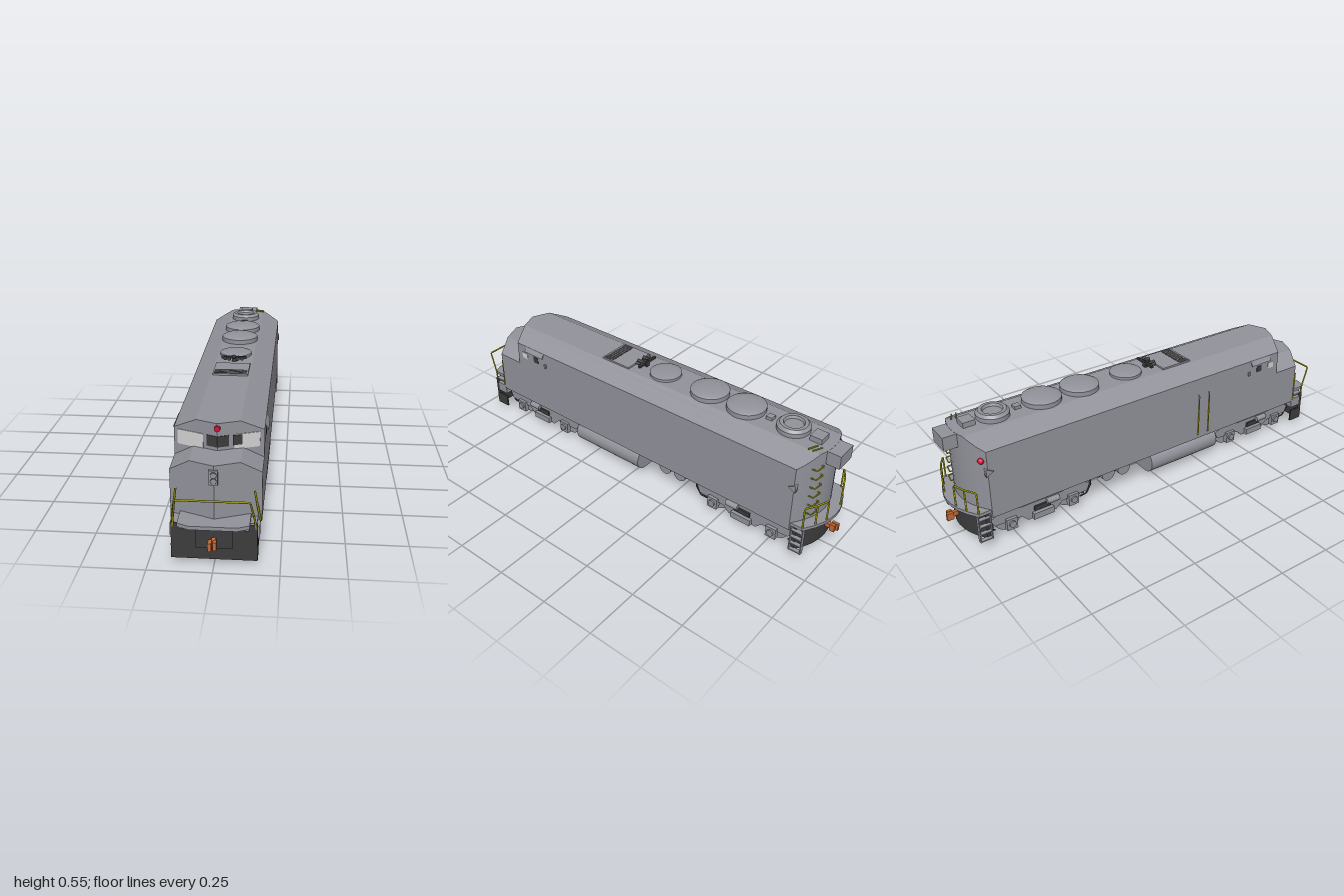
import * as THREE from 'three';
import { toCreasedNormals } from 'three/addons/utils/BufferGeometryUtils.js';

const mat = (name, color) => Object.assign(new THREE.MeshStandardMaterial({ color }), { name });

export function createModel() {
  const grey = mat('bodyGrey', 0x92929b);
  const dark = mat('darkGrey', 0x3c3c3c);
  const yellow = mat('railYellow', 0xb4b208);
  const amber = mat('lampYellow', 0xd8d80a);
  const red = mat('lampRed', 0xd00f35);
  const orange = mat('couplerOrange', 0xc06a38);
  const glass = mat('paleGlass', 0xd2d2d2);

  const root = new THREE.Group();
  root.name = 'locomotive';
  const add = (name, geo, m, x = 0, y = 0, z = 0, parent = root) => {
    const mesh = new THREE.Mesh(geo, m);
    mesh.name = name;
    mesh.position.set(x, y, z);
    parent.add(mesh);
    return mesh;
  };
  const box = (name, w, h, d, m, x, y, z, parent) => add(name, new THREE.BoxGeometry(w, h, d), m, x, y, z, parent);
  const cyl = (r, len, axis = 'y', n = 24, r2 = r) => {
    const g = new THREE.CylinderGeometry(r, r2, len, n);
    if (axis === 'x') g.rotateZ(Math.PI / 2);
    if (axis === 'z') g.rotateX(Math.PI / 2);
    return g;
  };
  const rail = (name, pts, m = yellow, r = 0.004, parent = root) => {
    const path = new THREE.CurvePath();
    const v = pts.map((p) => new THREE.Vector3(...p));
    for (let i = 1; i < v.length; i++) path.add(new THREE.LineCurve3(v[i - 1], v[i]));
    return add(name, new THREE.TubeGeometry(path, (v.length - 1) * 6, r, 6), m, 0, 0, 0, parent);
  };
  // Solid swept across x stations, with top, bottom, front and rear given as functions of x
  const slab = (xs, top, bottom, front, rear) => {
    const f = (q) => (typeof q === 'function' ? q : () => q);
    const [t, b, zf, zr] = [top, bottom, front, rear].map(f);
    const pos = [];
    const quad = (A, B, C, D) => pos.push(...A, ...B, ...C, ...A, ...C, ...D);
    const ring = (x) => [[x, b(x), zf(x)], [x, t(x), zf(x)], [x, t(x), zr(x)], [x, b(x), zr(x)]];
    for (let i = 0; i + 1 < xs.length; i++) {
      const p = ring(xs[i]), q = ring(xs[i + 1]);
      for (let k = 0; k < 4; k++) {
        const n = (k + 1) % 4;
        quad(p[k], q[k], q[n], p[n]);
      }
    }
    const l = ring(xs[0]), r = ring(xs[xs.length - 1]);
    quad(l[0], l[1], l[2], l[3]);
    quad(r[3], r[2], r[1], r[0]);
    const g = new THREE.BufferGeometry();
    g.setAttribute('position', new THREE.Float32BufferAttribute(pos, 3));
    g.computeVertexNormals();
    return toCreasedNormals(g, 0.32);
  };
  const mirrorX = (half) => [...half.map((x) => -x).reverse(), 0, ...half];
  const chevron = (z) => (x) => z - 0.41 * Math.abs(x);
  const bow = (z) => (x) => z + 0.068 * (x / 0.175) ** 2;
  const shoulder = (hi, lo, edge) => (x) => hi - Math.max(0, (Math.abs(x) - edge) / (0.175 - edge)) * (hi - lo);

  // Hood with rounded rear, and lower nose
  add('hood', slab(mirrorX([0.03, 0.06, 0.085, 0.115, 0.145, 0.175]),
    shoulder(0.512, 0.465, 0.085), 0.145, chevron(0.79), bow(-0.93)), grey);
  add('nose', slab(mirrorX([0.095, 0.175]), shoulder(0.402, 0.35, 0.095), 0.145, chevron(0.925), 0.6), grey);

  // Cab windows
  const pane = (name, x0, x1, y0, y1, m, lift = 0.003) => add(name,
    slab(x0 < 0 && x1 > 0 ? [x0, 0, x1] : [x0, x1], y1, y0, chevron(0.79 + lift), chevron(0.787)), m);
  pane('rightWindshield', -0.16, -0.056, 0.4, 0.46, glass);
  pane('leftWindshield', 0.062, 0.158, 0.4, 0.46, glass);
  pane('leftWindshieldShade', 0.058, 0.092, 0.418, 0.458, dark, 0.005);
  pane('centreWindow', -0.043, 0.043, 0.416, 0.46, dark);
  for (const s of [-1, 1]) {
    box('sideWindow', 0.004, 0.03, 0.035, glass, s * 0.175, 0.41, 0.67);
    box('sideWindowShade', 0.004, 0.03, 0.03, dark, s * 0.175, 0.41, 0.595);
    box('windowAwning', 0.028, 0.004, 0.12, grey, s * 0.179, 0.452, 0.6).rotation.z = -s * 1.05;
    box('mirror', 0.008, 0.018, 0.012, grey, s * 0.178, 0.4, 0.53);
  }
  add('frontBeacon', cyl(0.012, 0.012, 'z', 20), red, 0, 0.492, 0.79);

  // Nose headlights
  box('headlightPanel', 0.033, 0.06, 0.016, grey, -0.002, 0.355, 0.922);
  for (const y of [0.343, 0.367]) {
    add('headlightRim', new THREE.TorusGeometry(0.011, 0.0015, 6, 24), dark, -0.001, y, 0.931);
    add('headlight', cyl(0.0105, 0.004, 'z'), grey, -0.001, y, 0.931);
  }

  // Front platform and pilot
  add('frontPlatform', slab(mirrorX([0.09, 0.135]), 0.185, 0.17,
    (x) => (Math.abs(x) > 0.1 ? 0.965 : 0.985), 0.84), grey);
  box('frontDeck', 0.32, 0.008, 0.09, grey, 0, 0.166, 0.885);
  add('frontPilot', slab([-0.163, -0.155, 0.155, 0.163], 0.17,
    (x) => (Math.abs(x) > 0.16 ? 0.03 : 0.02), 0.935, 0.915), dark);
  box('couplerPocket', 0.14, 0.1, 0.006, dark, 0, 0.12, 0.938);
  for (const s of [-1, 1]) {
    box('pilotWing', 0.008, 0.06, 0.07, dark, s * 0.16, 0.05, 0.9);
    box('frontStep', 0.03, 0.05, 0.06, grey, s * 0.155, 0.13, 0.885);
    [[0.124, grey], [0.092, red], [0.072, amber]].forEach(([x, m]) =>
      add('pilotLamp', new THREE.SphereGeometry(0.0095, 16, 12), m, s * x, 0.157, 0.94));
    // Sloped handrails beside the nose
    rail('noseHandrail', [[s * 0.17, 0.15, 0.86], [s * 0.148, 0.29, 0.885]]);
    rail('platformHandrail', [[s * 0.158, 0.145, 0.93], [s * 0.152, 0.2, 0.94], [s * 0.138, 0.29, 0.985]]);
  }
  rail('frontHandrail', [[-0.138, 0.29, 0.985], [0.138, 0.29, 0.985]]);

  // Couplers
  for (const s of [-1, 1]) {
    const g = new THREE.Group();
    g.name = s > 0 ? 'frontCoupler' : 'rearCoupler';
    box('shank', 0.016, 0.02, 0.05, orange, 0, 0.106, s * 0.95, g);
    box('knuckle', 0.014, 0.034, 0.03, orange, -0.011, 0.106, s * 0.984, g);
    box('jaw', 0.014, 0.034, 0.022, orange, 0.007, 0.106, s * 0.98, g);
    root.add(g);
  }

  // Rear platform, pilot, railings and steps
  const bowXs = mirrorX([0.04, 0.08, 0.12, 0.16]);
  add('rearPlatform', slab([-0.172, ...bowXs, 0.172], 0.185, 0.17, -0.82, bow(-0.985)), grey);
  add('rearPilot', slab(bowXs, 0.17, 0.04, -0.87, bow(-0.945)), dark);
  const edge = bow(-0.978);
  for (const s of [-1, 1]) {
    const p = (x, y) => [s * x, y, edge(x)];
    rail('rearRailing', [p(0.06, 0.185), p(0.06, 0.285), p(0.115, 0.285), p(0.165, 0.285), p(0.165, 0.185)]);
    rail('rearRailPost', [p(0.115, 0.185), p(0.115, 0.285)]);
    for (const z of [-0.87, -0.925]) box('stepSide', 0.02, 0.13, 0.004, grey, s * 0.165, 0.105, z);
    for (let i = 0; i < 4; i++) box('rearStep', 0.02, 0.005, 0.055, grey, s * 0.165, 0.045 + i * 0.035, -0.897);
    add('rearPilotLamp', new THREE.SphereGeometry(0.009, 14, 10), red, s * 0.135, 0.155, -0.91);
    // Triangular marker bracket on each rear corner
    add('cornerBracket', cyl(0.022, 0.02, 'x', 3), grey, s * 0.17, 0.37, -0.86);
  }
  add('rearMarker', new THREE.SphereGeometry(0.014, 16, 12), red, -0.155, 0.42, -0.878);
  box('rearHeadlight', 0.1, 0.062, 0.07, grey, 0, 0.48, -0.95);
  for (let i = 0; i < 6; i++) {
    const y = 0.22 + i * 0.046, z = bow(-0.93)(0.09);
    rail('ladderRung', [[0.07, y, z], [0.07, y, z - 0.018], [0.115, y, z - 0.01], [0.115, y, z + 0.012]], yellow, 0.003);
  }
  for (const z of [-0.87, -0.89]) rail('roofGrab', [[0.05, 0.518, z - 0.01], [0.095, 0.518, z + 0.01]], yellow, 0.003);

  // Side door grab rails
  for (const z of [0.22, 0.28])
    rail('doorGrabRail', [[-0.172, 0.165, z], [-0.181, 0.165, z], [-0.181, 0.38, z], [-0.172, 0.38, z]], yellow, 0.003);

  // Roof fans
  const fan = (z, r, h) => add('roofFan', toCreasedNormals(new THREE.LatheGeometry(
    [[r, 0], [r, h * 0.65], [r * 0.85, h * 0.85], [r * 0.45, h], [0, h]].map((p) => new THREE.Vector2(...p)), 36), 0.6),
  grey, 0, 0.51, z);
  fan(-0.51, 0.087, 0.035);
  fan(-0.32, 0.087, 0.035);
  fan(-0.075, 0.073, 0.022);
  add('exhaustFan', toCreasedNormals(new THREE.LatheGeometry(
    [[0.072, 0], [0.072, 0.022], [0.06, 0.034], [0.045, 0.034], [0.04, 0.022], [0, 0.022]]
      .map((p) => new THREE.Vector2(...p)), 36), 0.6), grey, 0, 0.51, -0.74);
  box('roofHatch', 0.03, 0.016, 0.03, grey, 0, 0.518, -0.63);
  box('roofBox', 0.06, 0.028, 0.055, grey, 0, 0.522, -0.858);

  // Roof vent and horn
  box('roofVent', 0.155, 0.01, 0.155, grey, 0, 0.515, 0.16);
  box('ventSlot', 0.145, 0.006, 0.05, dark, 0, 0.518, 0.205);
  for (let i = 0; i < 4; i++) box('ventLouvre', 0.1, 0.005, 0.004, grey, 0, 0.5205, 0.188 + i * 0.012);
  const horn = new THREE.Group();
  horn.name = 'horn';
  box('hornBar', 0.115, 0.01, 0.012, dark, 0, 0.532, 0.035, horn);
  box('hornFoot', 0.02, 0.02, 0.012, dark, 0, 0.52, 0.035, horn);
  [-0.038, -0.019, 0, 0.019, 0.038].forEach((x, i) =>
    add('hornBell', cyl(0.009, 0.03 + (i % 2) * 0.015, 'z', 14, 0.003).rotateY(i === 2 ? Math.PI : 0),
      dark, x, 0.535, 0.05, horn));
  root.add(horn);

  // Fuel tank with rounded sides
  const tank = new THREE.Shape();
  tank.moveTo(-0.115, 0.032);
  tank.lineTo(0.115, 0.032);
  tank.absarc(0.115, 0.089, 0.057, -Math.PI / 2, Math.PI / 2, false);
  tank.lineTo(-0.115, 0.146);
  tank.absarc(-0.115, 0.089, 0.057, Math.PI / 2, Math.PI * 1.5, false);
  add('fuelTank', toCreasedNormals(new THREE.ExtrudeGeometry(tank,
    { depth: 0.39, bevelEnabled: false, curveSegments: 16 }), 0.6), grey, 0, 0, -0.045);
  add('tankSump', cyl(0.028, 0.025, 'z').scale(1.8, 1, 1), grey, 0, 0.09, -0.055);

  // Air reservoirs
  for (const z of [-0.18, -0.265]) add('airReservoir', cyl(0.033, 0.27, 'x'), grey, 0, 0.105, z);
  box('reservoirBracket', 0.26, 0.04, 0.012, grey, 0, 0.125, -0.315);

  // Bogies
  const frame = new THREE.Shape([[-0.245, 0.105], [-0.23, 0.07], [-0.1, 0.065], [-0.07, 0.035], [0.07, 0.035],
    [0.1, 0.065], [0.23, 0.07], [0.245, 0.105], [0.2, 0.128], [0.1, 0.115], [-0.1, 0.115], [-0.2, 0.128]]
    .map((p) => new THREE.Vector2(...p)));
  const frameGeo = new THREE.ExtrudeGeometry(frame, { depth: 0.02, bevelEnabled: false });
  frameGeo.translate(0, 0, -0.01).rotateY(-Math.PI / 2);
  for (const z of [0.61, -0.615]) {
    const bogie = new THREE.Group();
    bogie.name = z > 0 ? 'frontBogie' : 'rearBogie';
    bogie.position.z = z;
    root.add(bogie);
    box('motorHousing', 0.15, 0.06, 0.19, dark, 0, 0.07, 0, bogie);
    box('bolster', 0.25, 0.03, 0.09, grey, 0, 0.13, 0, bogie);
    for (const a of [-0.153, 0.153]) {
      add('axle', cyl(0.013, 0.25, 'x', 14), grey, 0, 0.067, a, bogie);
      box('brakeBeam', 0.2, 0.012, 0.03, dark, 0, 0.045, a * 0.55, bogie);
      for (const s of [-1, 1]) {
        add('wheel', cyl(0.063, 0.022, 'x', 32), grey, s * 0.097, 0.067, a, bogie);
        add('wheelFlange', cyl(0.067, 0.007, 'x', 32), grey, s * 0.083, 0.067, a, bogie);
        box('journalBox', 0.024, 0.055, 0.05, grey, s * 0.142, 0.058, a, bogie);
        add('journalCap', cyl(0.016, 0.012, 'x', 14), grey, s * 0.156, 0.06, a, bogie);
        box('brakeShoe', 0.02, 0.05, 0.012, dark, s * 0.097, 0.06, a * 1.48, bogie);
        rail('sandPipe', [[s * 0.13, 0.145, a * 1.62], [s * 0.13, 0.09, a * 1.67], [s * 0.12, 0.04, a * 1.55],
          [s * 0.1, 0.02, a * 1.4]], dark, 0.004, bogie);
      }
    }
    for (const s of [-1, 1]) {
      add('sideFrame', frameGeo, grey, s * 0.13, 0, 0, bogie);
      box('springPlank', 0.02, 0.03, 0.1, grey, s * 0.148, 0.052, 0, bogie);
      add('brakeCylinder', cyl(0.014, 0.06, 'z', 14), grey, s * 0.147, 0.1, 0.05, bogie);
      box('springPack', 0.016, 0.022, 0.08, dark, s * 0.14, 0.085, 0, bogie);
    }
  }
  return root;
}
